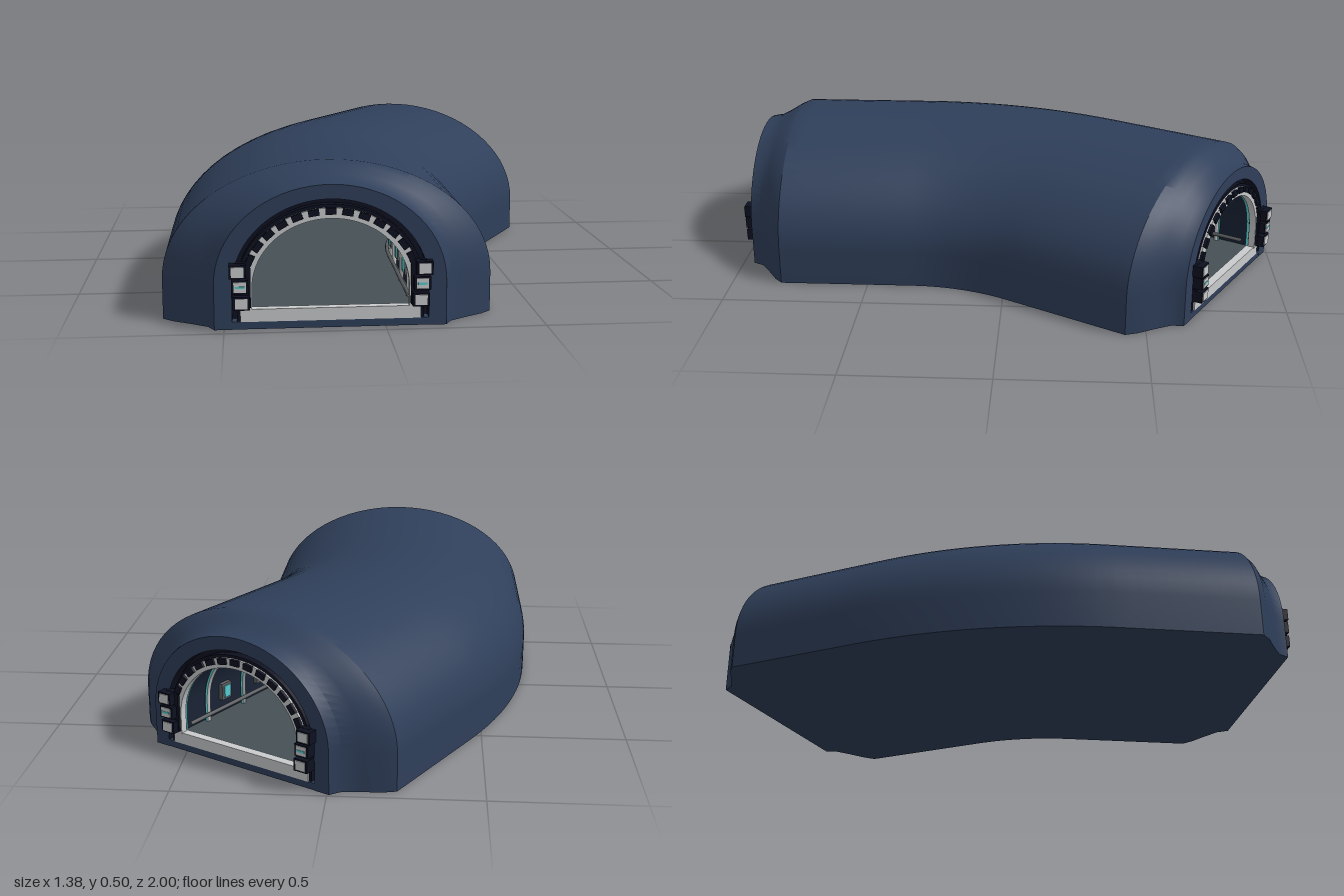
import * as THREE from 'three';
import { toCreasedNormals } from 'three/addons/utils/BufferGeometryUtils.js';

const mat = (name, color, side = THREE.FrontSide) =>
  Object.assign(new THREE.MeshStandardMaterial({ color, side }), { name });

// Centre line: straight, 30 degree bend, straight
const STRAIGHT = 0.62, RADIUS = 1.23, BEND = Math.PI / 6;
const ARC = RADIUS * BEND, LENGTH = STRAIGHT * 2 + ARC;

function frame(s) {
  const t = Math.min(Math.max(s - STRAIGHT, 0), ARC) / RADIUS;
  const extra = Math.max(s - STRAIGHT - ARC, 0);
  return {
    t,
    x: -0.17 + RADIUS * (1 - Math.cos(t)) + extra * Math.sin(t),
    z: 0.96 - Math.min(s, STRAIGHT) - RADIUS * Math.sin(t) - extra * Math.cos(t),
  };
}

function at(s, x, y) {
  const f = frame(s);
  return new THREE.Vector3(f.x + x * Math.cos(f.t), y, f.z + x * Math.sin(f.t));
}

// Arch outline from the right foot over the crown to the left foot
function arch(a, top, spring, y0 = 0, n = 36) {
  const pts = [[a, y0]];
  for (let i = 0; i <= n; i++) {
    const q = (Math.PI * i) / n;
    pts.push([a * Math.cos(q), spring + (top - spring) * Math.sin(q)]);
  }
  pts.push([-a, y0]);
  return pts;
}

// Skin over cross-sections [s, points] placed on the centre line
function loft(sections, crease = 0.5) {
  const pos = [], idx = [], n = sections[0][1].length;
  sections.forEach(([s, pts]) => pts.forEach(([x, y]) => pos.push(...at(s, x, y).toArray())));
  for (let i = 0; i < sections.length - 1; i++) {
    for (let j = 0; j < n - 1; j++) {
      const a = i * n + j, c = a + n;
      idx.push(a, c, a + 1, a + 1, c, c + 1);
    }
  }
  const g = new THREE.BufferGeometry();
  g.setAttribute('position', new THREE.Float32BufferAttribute(pos, 3));
  g.setIndex(idx);
  return toCreasedNormals(g, crease);
}

const steps = (a, b, n) => Array.from({ length: n + 1 }, (_, i) => a + ((b - a) * i) / n);

// Flat U-shaped band between two arches
function band(outer, inner, depth) {
  const pts = [...outer, ...inner.reverse()].map(([x, y]) => new THREE.Vector2(x, y));
  return new THREE.ExtrudeGeometry(new THREE.Shape(pts), { depth, bevelEnabled: false });
}

function archTube(a, top, spring, y0, r) {
  const curve = new THREE.CatmullRomCurve3(arch(a, top, spring, y0, 16).map(([x, y]) => new THREE.Vector3(x, y, 0)));
  return new THREE.TubeGeometry(curve, 40, r, 8);
}

export function createModel() {
  const M = {
    shell: mat('navy shell', 0x2f3f5a),
    wall: mat('dark inner wall', 0x1a2436),
    dark: mat('near black trim', 0x0d1020),
    light: mat('pale grey metal', 0xc9cbcd),
    rib: mat('rib grey', 0x9da0a2),
    rail: mat('rail grey', 0x5c5f62),
    floor: mat('floor grey', 0x465054),
    cyan: mat('cyan light', 0x58c8cc),
  };
  const model = new THREE.Group();
  model.name = 'curvedTunnel';
  const add = (parent, name, geo, material, x = 0, y = 0, z = 0) => {
    const m = new THREE.Mesh(geo, material);
    m.name = name;
    m.position.set(x, y, z);
    parent.add(m);
    return m;
  };
  const box = (w, h, d) => new THREE.BoxGeometry(w, h, d);
  const place = (name, s) => {
    const g = new THREE.Group(), f = frame(s);
    g.name = name;
    g.position.set(f.x, 0, f.z);
    g.rotation.y = -f.t;
    model.add(g);
    return g;
  };

  // Outer shell with tapered collars: distance from end, half width, height, spring line
  const taper = [[0, 0.36, 0.45, 0.14], [0.038, 0.38, 0.455, 0.14], [0.075, 0.435, 0.472, 0.14],
    [0.11, 0.492, 0.492, 0.135], [0.14, 0.525, 0.505, 0.13]];
  const profile = [
    ...taper,
    ...steps(0.14, LENGTH - 0.14, 36).slice(1, -1).map(s => [s, 0.525, 0.505, 0.13]),
    ...taper.map(([d, ...r]) => [LENGTH - d, ...r]).reverse(),
  ];
  const rim = s => [s, arch(0.305, 0.405, 0.13)];
  add(model, 'outerShell', loft([
    rim(0), ...profile.map(([s, a, top, c]) => [s, arch(a, top, c)]), rim(LENGTH),
  ]), M.shell);
  add(model, 'underside', loft(profile.map(([s, a]) => [s, [[-a, 0], [a, 0]]])), M.shell);

  // Recessed portals and inner wall
  const inner = s => [s, arch(0.275, 0.375, 0.13)];
  for (const [s, d] of [[0, 0.04], [LENGTH, -0.04]]) {
    const recess = [rim(s), rim(s + d), inner(s + d)];
    add(model, 'portalRecess', loft(s ? recess : recess.reverse()), M.dark);
  }
  add(model, 'innerWall', loft(steps(LENGTH - 0.04, 0.04, 36).map(inner)), M.wall);
  add(model, 'floor', loft(steps(0.02, LENGTH - 0.02, 36).map(s => [s, [[0.275, 0.05], [-0.275, 0.05]]])), M.floor);

  // Handrails
  for (const side of [-1, 1]) {
    const path = new THREE.CatmullRomCurve3(steps(0.05, LENGTH - 0.05, 20).map(s => at(s, side * 0.25, 0.078)));
    add(model, 'handrail', new THREE.TubeGeometry(path, 60, 0.007, 8), M.rail);
  }

  // Ribs with a light strip behind, and lit wall panels between them
  const ribGeo = archTube(0.262, 0.362, 0.13, 0.05, 0.008);
  const stripGeo = archTube(0.264, 0.364, 0.13, 0.05, 0.004);
  const stations = steps(0.16, LENGTH - 0.16, 8);
  stations.forEach((s, i) => {
    const g = place('rib', s);
    add(g, 'ribArch', ribGeo, i % 2 ? M.rib : M.light);
    if (i === 4) add(g, 'ribArch', ribGeo, M.light, 0, 0, 0.024);
    add(g, 'ribLight', stripGeo, M.cyan, 0, 0, -0.008);
    if (i === stations.length - 1) return;
    const p = place('wallPanels', (s + stations[i + 1]) / 2);
    for (const side of [-1, 1]) {
      add(p, 'panelFrame', box(0.016, 0.06, 0.05), M.rail, side * 0.266, 0.13, 0);
      add(p, 'panelLight', box(0.008, 0.042, 0.032), M.cyan, side * 0.257, 0.13, 0);
    }
  });

  // Portal frames, the same at both ends
  for (const s of [0, LENGTH]) {
    const g = place('portal', s);
    if (s) g.rotation.y += Math.PI;
    add(g, 'baseLip', box(0.61, 0.024, 0.04), M.shell, 0, 0.0125, -0.0205);
    add(g, 'sill', box(0.56, 0.04, 0.03), M.light, 0, 0.044, -0.014);
    add(g, 'darkBand', band(arch(0.29, 0.388, 0.13, 0.025), arch(0.262, 0.362, 0.13, 0.025), 0.03), M.dark, 0, 0, -0.035);
    add(g, 'paleBand', band(arch(0.278, 0.378, 0.13, 0.06), arch(0.243, 0.345, 0.13, 0.06), 0.025), M.light, 0, 0, -0.022);
    add(g, 'portalLight', archTube(0.25, 0.35, 0.13, 0.05, 0.005), M.cyan, 0, 0, -0.03);

    // Dark blocks around the arch
    for (let i = 0; i < 15; i++) {
      const q = Math.PI * (0.06 + (0.88 * i) / 14);
      const b = add(g, 'archBlock', box(0.034, 0.02, 0.012), M.dark, 0.268 * Math.cos(q), 0.13 + 0.238 * Math.sin(q), 0.005);
      b.rotation.z = Math.atan2(0.238 * Math.cos(q), -0.268 * Math.sin(q));
    }

    // Stacked side clamps with pale faces
    for (const side of [-1, 1]) {
      add(g, 'clampBack', box(0.05, 0.14, 0.025), M.dark, side * 0.272, 0.142, 0);
      [[0.19, 0.287], [0.143, 0.28], [0.091, 0.276]].forEach(([y, x], i) => {
        add(g, 'clamp', box(0.052, 0.042, 0.05), M.dark, side * x, y, 0.01);
        add(g, 'clampFace', box(0.038, 0.032, 0.004), M.light, side * x, y, 0.036);
        if (i === 1) add(g, 'clampLight', box(0.03, 0.007, 0.003), M.cyan, side * x, y, 0.038);
      });
    }
  }
  return model;
}
